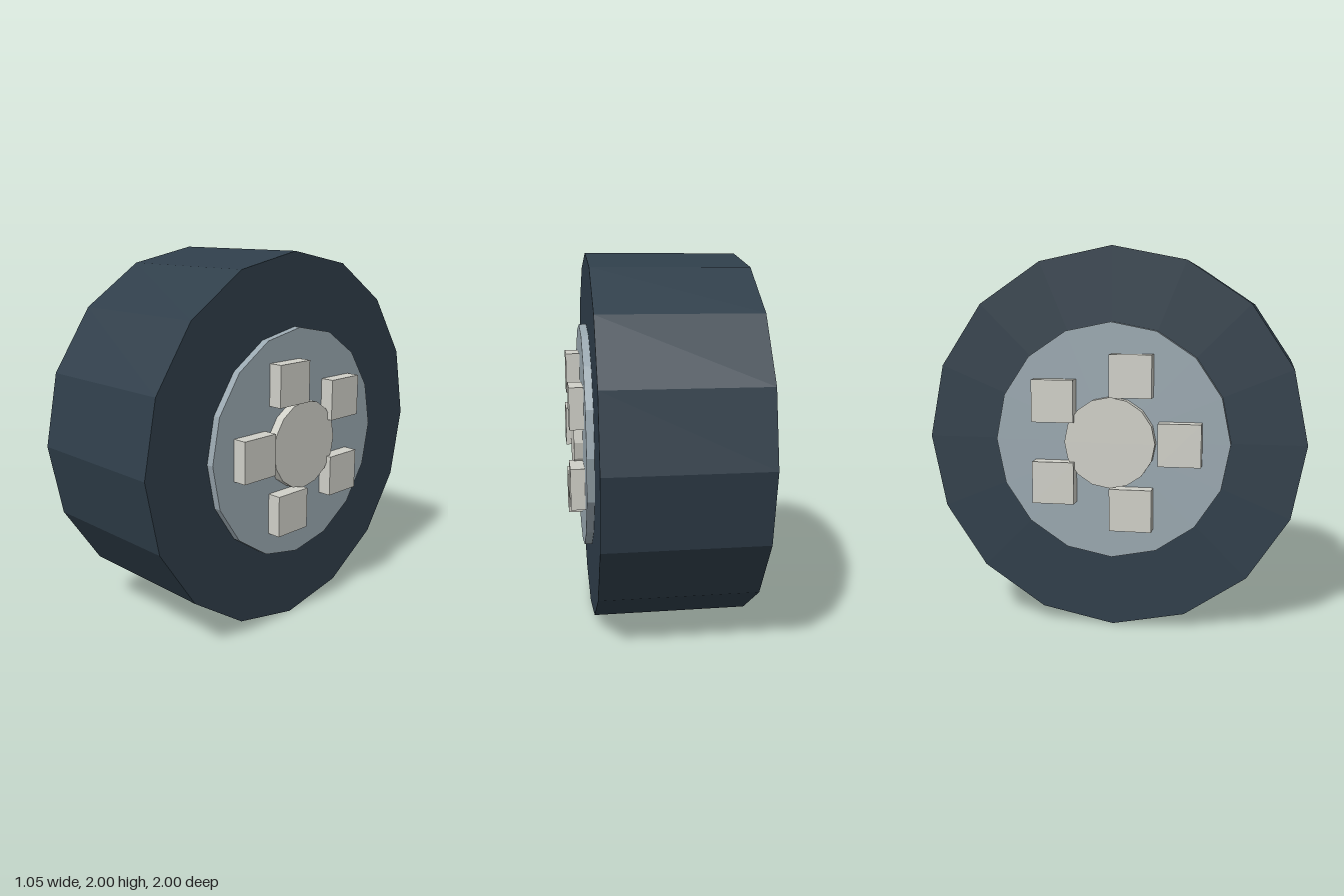
import * as THREE from 'three';

const SIDES = 16;

export function createModel() {
  const rubber = new THREE.MeshStandardMaterial({ color: 0x2f3e4a });
  rubber.name = 'darkRubber';
  const metal = new THREE.MeshStandardMaterial({ color: 0x9aa8b0 });
  metal.name = 'greyMetal';
  const pale = new THREE.MeshStandardMaterial({ color: 0xd0d0c8 });
  pale.name = 'paleMetal';

  const wheel = new THREE.Group();
  wheel.name = 'wheel';

  function add(name, geometry, material, x = 0, y = 1, z = 0) {
    const mesh = new THREE.Mesh(geometry, material);
    mesh.name = name;
    mesh.position.set(x, y, z);
    wheel.add(mesh);
  }

  // Faceted drum lying along the x axis
  function drum(radius, halfWidth) {
    const geometry = new THREE.CylinderGeometry(radius, radius, halfWidth * 2, SIDES)
      .rotateZ(Math.PI / 2)
      .toNonIndexed();
    geometry.computeVertexNormals();
    return geometry;
  }

  // Tyre, rim and hub run through the full width, each a little wider
  add('tyre', drum(1, 0.412), rubber);
  add('rim', drum(0.617, 0.452), metal);
  add('hub', drum(0.236, 0.5), pale);

  // Five square wheel nuts on each side, the first towards the front
  const nut = new THREE.BoxGeometry(0.15, 0.22, 0.22);
  for (const side of [1, -1]) {
    for (let i = 0; i < 5; i++) {
      const angle = (i / 5) * Math.PI * 2;
      add(
        side > 0 ? 'leftWheelNut' : 'rightWheelNut', nut, pale,
        side * 0.452, 1 + 0.363 * Math.sin(angle), 0.363 * Math.cos(angle)
      );
    }
  }

  return wheel;
}
